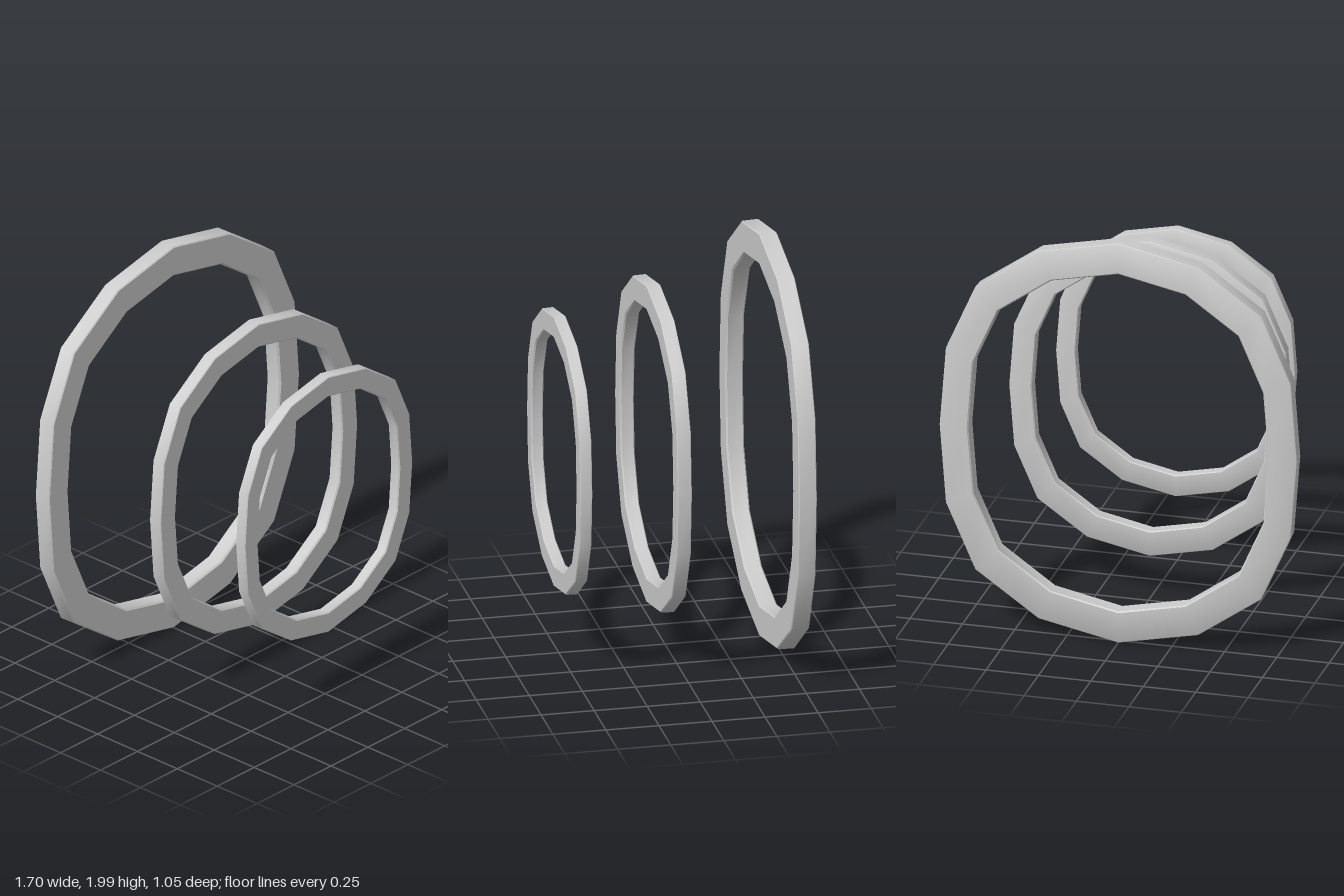
import * as THREE from 'three';
import { toCreasedNormals } from 'three/addons/utils/BufferGeometryUtils.js';

const CENTRE_Y = 1.005;

// One quarter of the rounded oval, from the top to the side, in unit size
const QUARTER = [[0, 1], [0.447, 0.92], [0.8, 0.708], [0.965, 0.387], [1, 0]];

// Full 16-sided outline, clockwise from the top
function outline() {
  const q = QUARTER;
  const right = [...q, ...q.slice(0, 4).reverse().map(([x, y]) => [x, -y])];
  const left = right.slice(1, 8).reverse().map(([x, y]) => [-x, y]);
  return [...right, ...left];
}

// Cross-section: [half width, half height, z], with narrow chamfers
const SECTION = [
  [0.843, 0.988, 0.042],
  [0.848, 0.993, 0.037],
  [0.852, 0.995, -0.038],
  [0.847, 0.990, -0.042],
  [0.722, 0.847, -0.042],
  [0.716, 0.841, -0.036],
  [0.716, 0.841, 0.034],
  [0.724, 0.849, 0.042],
];

// Sweep the cross-section around the outline
function ringGeometry() {
  const loop = outline();
  const n = loop.length, m = SECTION.length;
  const positions = [], index = [];
  loop.forEach(([x, y], i) => {
    SECTION.forEach(([w, h, z], j) => {
      positions.push(x * w, y * h, z);
      const i2 = (i + 1) % n, j2 = (j + 1) % m;
      const a = i * m + j, b = i2 * m + j, c = i * m + j2, d = i2 * m + j2;
      index.push(a, b, c, b, d, c);
    });
  });
  const geometry = new THREE.BufferGeometry();
  geometry.setAttribute('position', new THREE.Float32BufferAttribute(positions, 3));
  geometry.setIndex(index);
  return toCreasedNormals(geometry, 0.7);
}

export function createModel() {
  const group = new THREE.Group();
  group.name = 'threeRings';
  const material = new THREE.MeshStandardMaterial({ color: 0xcccccc });
  const geometry = ringGeometry();

  // Same ring at three sizes, shrinking towards the front
  const rings = [
    ['largeBackRing', 1, -0.486],
    ['middleRing', 0.787, 0.054],
    ['smallFrontRing', 0.669, 0.496],
  ];
  for (const [name, scale, z] of rings) {
    const ring = new THREE.Mesh(geometry, material);
    ring.name = name;
    ring.scale.setScalar(scale);
    ring.position.set(0, CENTRE_Y, z);
    group.add(ring);
  }
  return group;
}
